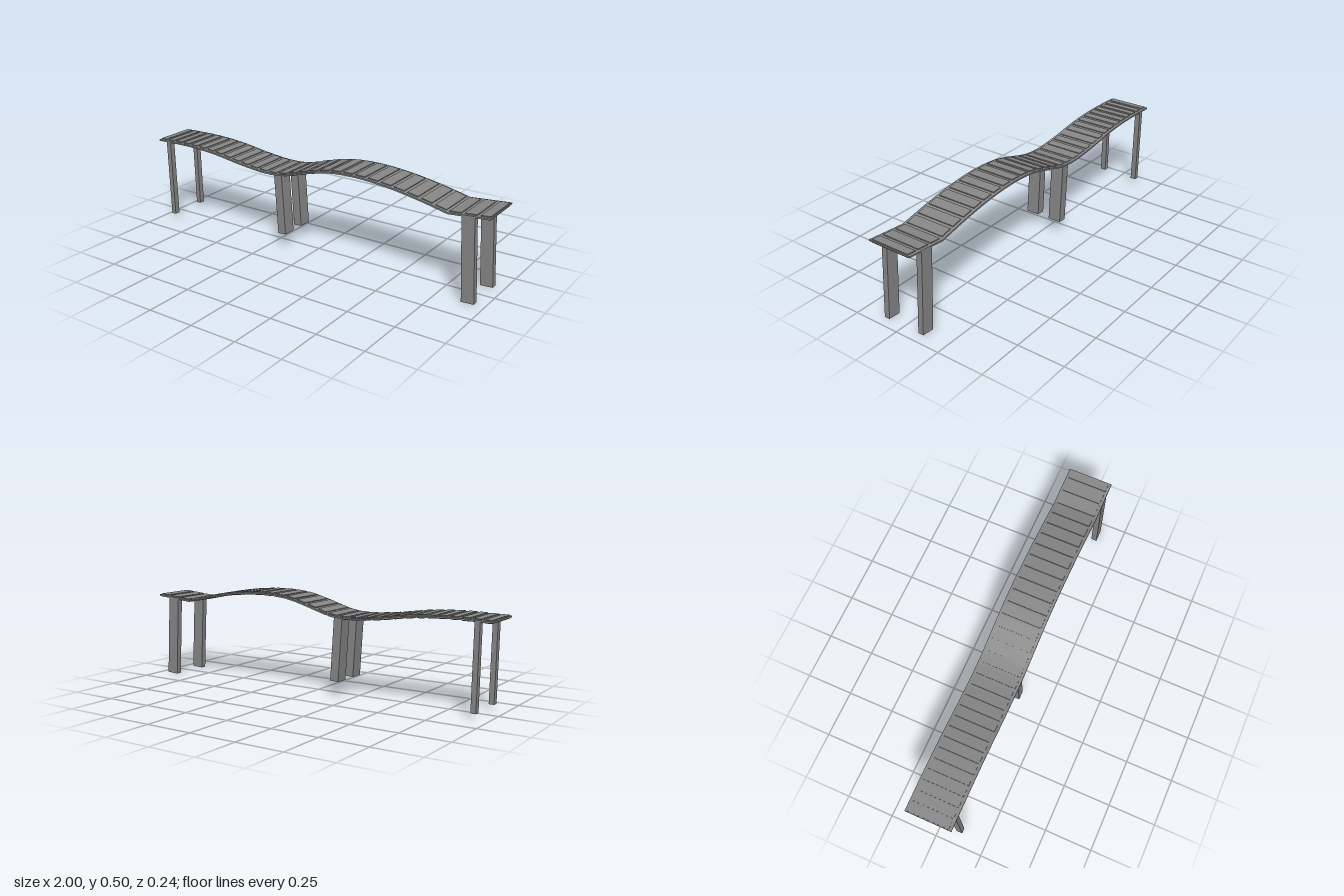
import * as THREE from 'three';

const material = new THREE.MeshStandardMaterial({ color: 0x868686, flatShading: true });
const V = (x, y) => new THREE.Vector3(x, y, 0);

// Centre line of the walkway: a wavy run, then a straight end ramp
const wave = new THREE.CatmullRomCurve3([
  V(-1, 0.453), V(-0.78, 0.457), V(-0.6, 0.447), V(-0.42, 0.422), V(-0.25, 0.408), V(-0.14, 0.417),
  V(0, 0.456), V(0.12, 0.485), V(0.27, 0.496), V(0.45, 0.485), V(0.63, 0.457), V(0.79, 0.423),
]);
const path = new THREE.CurvePath();
path.add(wave);
path.add(new THREE.LineCurve3(V(0.79, 0.423), V(1, 0.441)));

function addBox(parent, name, [w, h, d], [x, y, z], angle) {
  const mesh = new THREE.Mesh(new THREE.BoxGeometry(w, h, d), material);
  mesh.name = name;
  mesh.position.set(x, y, z);
  mesh.rotation.z = angle;
  parent.add(mesh);
}

// Thin continuous ribbon following the centre line
function makeDeck(halfWidth, halfThickness) {
  const points = [...wave.getSpacedPoints(32), V(1, 0.441)];
  const outline = [
    ...points.map((p) => new THREE.Vector2(p.x, p.y - halfThickness)),
    ...points.map((p) => new THREE.Vector2(p.x, p.y + halfThickness)).reverse(),
  ];
  const geometry = new THREE.ExtrudeGeometry(new THREE.Shape(outline), {
    depth: halfWidth * 2, bevelEnabled: false,
  });
  geometry.translate(0, 0, -halfWidth);
  const deck = new THREE.Mesh(geometry, material);
  deck.name = 'deck';
  return deck;
}

// Cross planks, a little thicker and narrower than the deck, widening along the run
function makePlanks() {
  const group = new THREE.Group();
  group.name = 'planks';
  const length = path.getLength();
  const gap = 0.018;
  for (let s = 0.004; s < length - 0.03;) {
    const plank = Math.min(0.036 + 0.026 * (s / length), length - s - 0.004);
    const t = (s + plank / 2) / length;
    const p = path.getPointAt(t);
    const dir = path.getTangentAt(t);
    addBox(group, 'plank', [plank, 0.017, 0.21], [p.x, p.y, 0], Math.atan2(dir.y, dir.x));
    s += plank + gap;
  }
  return group;
}

// Pair of slightly leaning legs, mirrored across z
function makeLegs(name, top, bottom, width, zInner, zOuter) {
  const group = new THREE.Group();
  group.name = name;
  const dx = top[0] - bottom[0];
  const dy = top[1] - bottom[1];
  for (const side of [1, -1]) {
    addBox(group, 'leg', [width, Math.hypot(dx, dy), zOuter - zInner],
      [(top[0] + bottom[0]) / 2, (top[1] + bottom[1]) / 2, side * (zInner + zOuter) / 2],
      Math.atan2(-dx, dy));
  }
  return group;
}

export function createModel() {
  const model = new THREE.Group();
  model.name = 'walkway';
  model.add(
    makeDeck(0.12, 0.004),
    makePlanks(),
    makeLegs('rightLegs', [-0.932, 0.459], [-0.925, 0.028], 0.027, 0.09, 0.12),
    makeLegs('middleLegs', [-0.186, 0.413], [-0.164, 0.083], 0.047, 0.035, 0.106),
    makeLegs('leftLegs', [0.893, 0.435], [0.917, 0.002], 0.066, 0.09, 0.12),
  );
  return model;
}
